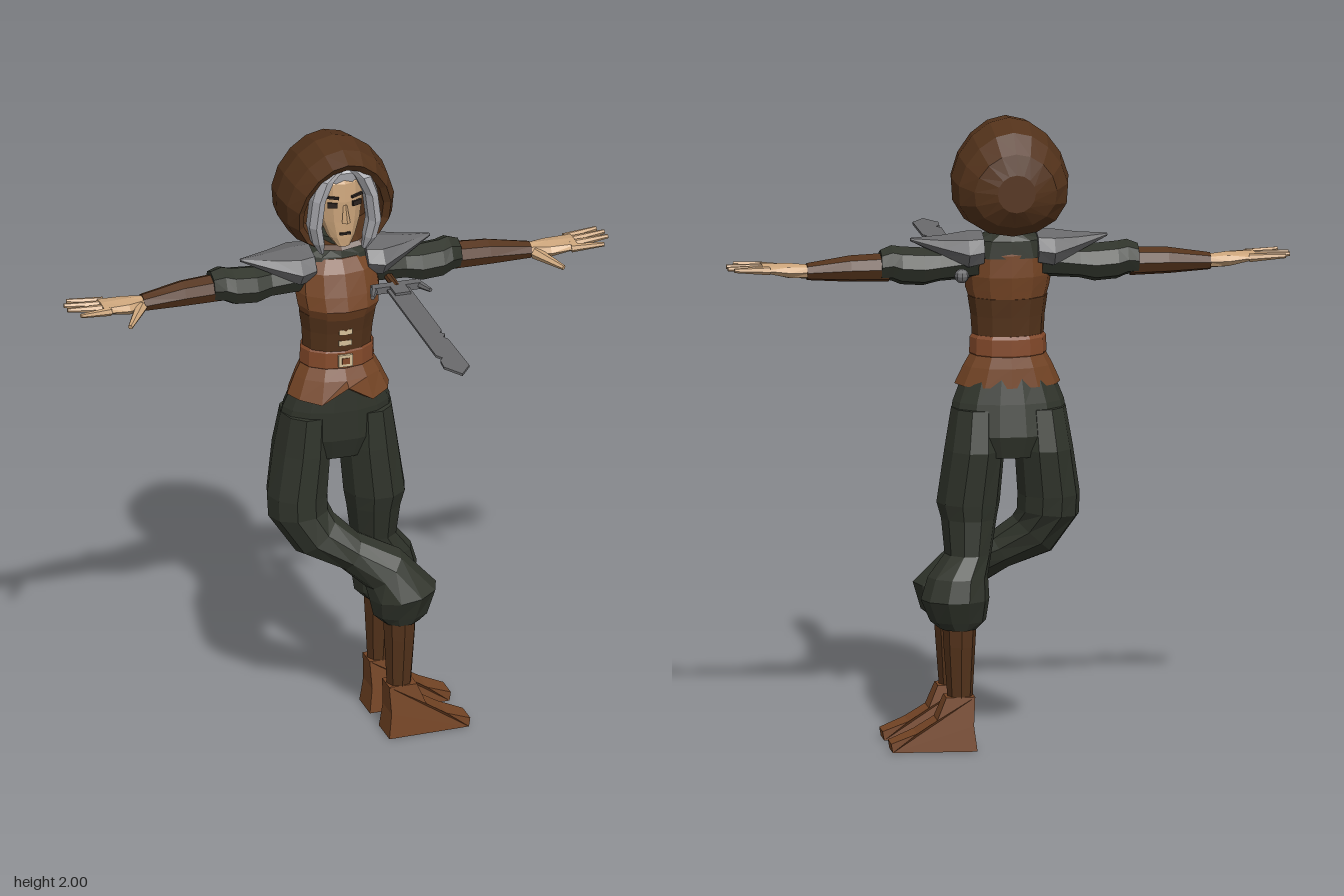
import * as THREE from 'three';

const mat = (name, color) => Object.assign(new THREE.MeshStandardMaterial({ color }), { name });

export function createModel() {
  const M = {
    darkLeather: mat('dark leather', 0x54331b),
    leather: mat('leather', 0x754525),
    belt: mat('belt leather', 0x83492a),
    cloth: mat('green cloth', 0x30342b),
    metal: mat('dull metal', 0x6a6a6c),
    hair: mat('grey hair', 0xa9a9ae),
    skin: mat('skin', 0xcda67c),
    dark: mat('eye dark', 0x2a221e),
    buckle: mat('buckle', 0xd6c19a),
  };
  const model = new THREE.Group();
  model.name = 'hoodedFigure';

  // flat-shaded mesh from any geometry
  function add(name, geo, material, parent = model) {
    const g = geo.index ? geo.toNonIndexed() : geo;
    g.computeVertexNormals();
    const mesh = new THREE.Mesh(g, material);
    mesh.name = name;
    parent.add(mesh);
    return mesh;
  }

  // Closed skin over elliptical rings [x, y, z, ru, rv, tilt, taper] lying in the given plane
  function loft(name, plane, rings, material, { n = 10, parent = model, warp } = {}) {
    const pos = [], idx = [];
    for (const [x, y, z, ru, rv, t = 0, taper = 0] of rings) {
      for (let i = 0; i < n; i++) {
        const a = (i / n) * Math.PI * 2, s = Math.sin(a) * rv;
        const c = Math.cos(a) * ru * (1 - taper * Math.sin(a));
        const p = new THREE.Vector3(x, y, z);
        if (plane === 'xz') p.add(new THREE.Vector3(c * Math.cos(t), c * Math.sin(t), s));
        else if (plane === 'yz') p.add(new THREE.Vector3(0, s, c));
        else p.add(new THREE.Vector3(c, s * Math.cos(t), s * Math.sin(t)));
        if (warp) warp(p);
        pos.push(p.x, p.y, p.z);
      }
    }
    const last = rings.length - 1, c0 = pos.length / 3;
    pos.push(...rings[0].slice(0, 3), ...rings[last].slice(0, 3));
    for (let i = 0; i < n; i++) {
      const j = (i + 1) % n;
      for (let r = 0; r < last; r++) {
        const a = r * n + i, b = r * n + j;
        idx.push(a, b, b + n, a, b + n, a + n);
      }
      idx.push(c0, j, i, c0 + 1, last * n + i, last * n + j);
    }
    // make faces point outward, judged by signed volume about the first centre
    const at = (i) => new THREE.Vector3().fromArray(pos, i * 3).sub(new THREE.Vector3(...rings[0].slice(0, 3)));
    let volume = 0;
    for (let i = 0; i < idx.length; i += 3) volume += at(idx[i]).cross(at(idx[i + 1])).dot(at(idx[i + 2]));
    if (volume < 0) idx.reverse();
    const g = new THREE.BufferGeometry();
    g.setAttribute('position', new THREE.Float32BufferAttribute(pos, 3));
    g.setIndex(idx);
    return add(name, g, material, parent);
  }

  // tapered rod between two points
  function rod(name, a, b, r0, r1, material, parent = model, sides = 6) {
    const p = new THREE.Vector3(...a), q = new THREE.Vector3(...b), d = q.clone().sub(p);
    const mesh = add(name, new THREE.CylinderGeometry(r1, r0, d.length(), sides), material, parent);
    mesh.position.copy(p).add(q).multiplyScalar(0.5);
    mesh.quaternion.setFromUnitVectors(new THREE.Vector3(0, 1, 0), d.normalize());
    return mesh;
  }
  function box(name, size, at, material, parent = model, ry = 0, rz = 0) {
    const mesh = add(name, new THREE.BoxGeometry(...size), material, parent);
    mesh.position.set(...at);
    mesh.rotation.set(0, ry, rz);
    return mesh;
  }

  // Hood: inner pocket, rim, then outer shell
  loft('hood', 'xy', [
    [0, 1.8, -0.31, 0.13, 0.13, 0.2, 0.15], [0, 1.795, -0.215, 0.13, 0.145, 0.2, 0.15],
    [0, 1.8, -0.2, 0.15, 0.165, 0.2, 0.15], [0, 1.81, -0.25, 0.175, 0.18, 0.12, 0.15],
    [0, 1.815, -0.33, 0.185, 0.185, 0.04, 0.15], [0, 1.805, -0.42, 0.172, 0.167, -0.05, 0.15],
    [0, 1.795, -0.475, 0.13, 0.12, -0.1, 0.1], [0, 1.79, -0.5, 0.06, 0.06],
  ], M.darkLeather, { n: 16 });

  // Head and face
  const head = new THREE.Group();
  head.name = 'head';
  model.add(head);
  loft('face', 'xz', [
    [0, 1.665, -0.225, 0.022, 0.018], [0, 1.695, -0.25, 0.045, 0.046], [0, 1.75, -0.265, 0.066, 0.062],
    [0, 1.82, -0.27, 0.076, 0.07], [0, 1.88, -0.275, 0.074, 0.07], [0, 1.93, -0.285, 0.05, 0.05],
  ], M.skin, { n: 12, parent: head });
  rod('nose', [0, 1.81, -0.203], [0, 1.752, -0.192], 0.006, 0.014, M.skin, head, 4);
  box('mouth', [0.035, 0.007, 0.008], [0, 1.712, -0.203], M.dark, head);
  for (const s of [1, -1]) {
    box('eye', [0.032, 0.016, 0.008], [s * 0.04, 1.812, -0.208], M.dark, head, s * 0.35);
    box('eyebrow', [0.04, 0.007, 0.008], [s * 0.04, 1.838, -0.207], M.dark, head, s * 0.35, s * 0.1);
    loft('hairLock', 'xz', [
      [s * 0.02 + 0.01, 1.935, -0.235, 0.025, 0.035], [s * 0.06, 1.905, -0.22, 0.03, 0.045],
      [s * 0.086, 1.84, -0.215, 0.024, 0.042], [s * 0.097, 1.75, -0.215, 0.024, 0.04],
      [s * 0.085, 1.69, -0.22, 0.022, 0.035], [s * 0.07, 1.645, -0.225, 0.008, 0.012],
    ], M.hair, { n: 7, parent: head });
  }
  loft('hairCap', 'xz', [
    [0, 1.875, -0.285, 0.09, 0.075], [0, 1.915, -0.275, 0.08, 0.07], [0, 1.945, -0.275, 0.04, 0.045],
  ], M.hair, { n: 10, parent: head });

  // Torso, from collar to hem
  loft('collar', 'xz', [
    [0, 1.56, -0.305, 0.14, 0.08], [0, 1.615, -0.31, 0.12, 0.07],
    [0, 1.635, -0.305, 0.065, 0.06], [0, 1.68, -0.295, 0.052, 0.052],
  ], M.cloth, { n: 12 });
  loft('chest', 'xz', [
    [0, 1.61, -0.305, 0.1, 0.07], [0, 1.57, -0.295, 0.132, 0.09], [0, 1.5, -0.285, 0.138, 0.105],
    [0, 1.455, -0.275, 0.132, 0.108], [0, 1.405, -0.283, 0.115, 0.092],
  ], M.leather, { n: 12 });
  loft('corset', 'xz', [
    [0, 1.43, -0.282, 0.126, 0.1], [0, 1.37, -0.285, 0.117, 0.09], [0, 1.29, -0.288, 0.112, 0.08],
  ], M.darkLeather, { n: 12 });
  loft('belt', 'xz', [
    [0, 1.31, -0.29, 0.113, 0.082], [0, 1.3, -0.29, 0.12, 0.087], [0, 1.25, -0.29, 0.122, 0.089], [0, 1.24, -0.29, 0.115, 0.083],
  ], M.belt, { n: 12 });
  loft('tunicHem', 'xz', [
    [0, 1.25, -0.29, 0.118, 0.085], [0, 1.21, -0.285, 0.14, 0.1], [0, 1.15, -0.277, 0.167, 0.115],
  ], M.leather, { n: 12, warp: (p) => { if (p.y < 1.16 && p.z > -0.2) p.y += Math.abs(p.x) < 0.01 ? 0.045 : -0.01; } });
  for (const y of [1.375, 1.335]) box('clasp', [0.042, 0.017, 0.009], [0, y, -0.198 - (1.375 - y) * 0.15], M.buckle);
  box('beltBuckle', [0.046, 0.04, 0.009], [0, 1.275, -0.2], M.buckle);
  box('buckleCentre', [0.024, 0.02, 0.004], [0, 1.275, -0.195], M.belt);

  // Baggy trousers
  loft('hips', 'xz', [
    [0, 1.2, -0.288, 0.135, 0.092], [0, 1.1, -0.298, 0.175, 0.105], [0, 1.0, -0.31, 0.192, 0.112], [0, 0.93, -0.312, 0.15, 0.09],
  ], M.cloth, { n: 14 });
  loft('leftTrouserLeg', 'xz', [
    [0.1, 1.08, -0.3, 0.08, 0.1], [0.108, 0.95, -0.312, 0.095, 0.117], [0.127, 0.78, -0.305, 0.1, 0.108],
    [0.125, 0.73, -0.308, 0.088, 0.098], [0.13, 0.62, -0.325, 0.074, 0.085], [0.165, 0.55, -0.345, 0.095, 0.092],
    [0.175, 0.48, -0.355, 0.108, 0.096], [0.165, 0.41, -0.35, 0.088, 0.07], [0.162, 0.385, -0.348, 0.06, 0.06],
  ], M.cloth);
  loft('rightTrouserLeg', 'xz', [
    [-0.1, 1.08, -0.3, 0.08, 0.1], [-0.11, 0.95, -0.31, 0.092, 0.115], [-0.127, 0.8, -0.3, 0.098, 0.105],
    [-0.125, 0.74, -0.295, 0.098, 0.1, 0.1], [-0.078, 0.665, -0.27, 0.084, 0.09, 0.75], [0.02, 0.607, -0.23, 0.062, 0.085, 1.05],
    [0.115, 0.555, -0.18, 0.08, 0.09, 0.8], [0.172, 0.48, -0.152, 0.11, 0.1, 0.15],
    [0.165, 0.41, -0.15, 0.09, 0.07], [0.162, 0.385, -0.15, 0.06, 0.06],
  ], M.cloth);

  // Shins and boots, both turned toward +x
  const bootSide = new THREE.Shape([
    [0.11, 0], [0.375, 0], [0.38, 0.028], [0.3, 0.06], [0.235, 0.1], [0.206, 0.17], [0.115, 0.17], [0.12, 0.08],
  ].map((p) => new THREE.Vector2(...p)));
  for (const [side, z] of [['left', -0.346], ['right', -0.148]]) {
    loft(side + 'Shin', 'xz', [
      [0.16, 0.42, z, 0.055, 0.058], [0.16, 0.33, z, 0.05, 0.054], [0.158, 0.155, z, 0.039, 0.036],
    ], M.darkLeather, { n: 8 });
    const boot = new THREE.ExtrudeGeometry(bootSide, { depth: 0.108, bevelEnabled: false }).translate(0, 0, -0.054);
    const p = boot.attributes.position;
    for (let i = 0; i < p.count; i++) {
      p.setZ(i, p.getZ(i) * (1 - 1.9 * p.getY(i)) * (p.getX(i) > 0.35 ? 0.75 : 1));
    }
    add(side + 'Boot', boot, M.leather).position.z = z;
  }

  // Arms, hands and shoulder guards
  for (const s of [1, -1]) {
    const arm = new THREE.Group();
    arm.name = s > 0 ? 'leftArm' : 'rightArm';
    model.add(arm);
    const along = (name, rings, m, n = 8) =>
      loft(name, 'yz', rings.map(([x, ...r]) => [s * x, ...r]), m, { n, parent: arm });
    along('sleeve', [
      [0.1, 1.55, -0.305, 0.065, 0.06], [0.22, 1.535, -0.31, 0.056, 0.052], [0.27, 1.53, -0.305, 0.064, 0.06],
      [0.34, 1.535, -0.305, 0.064, 0.06], [0.37, 1.545, -0.31, 0.062, 0.056], [0.405, 1.54, -0.315, 0.05, 0.048],
    ], M.cloth);
    along('forearm', [
      [0.38, 1.532, -0.315, 0.047, 0.046], [0.5, 1.53, -0.31, 0.043, 0.042], [0.635, 1.522, -0.3, 0.031, 0.027],
    ], M.darkLeather);
    along('palm', [
      [0.625, 1.522, -0.3, 0.025, 0.022], [0.69, 1.525, -0.29, 0.048, 0.024], [0.775, 1.535, -0.285, 0.053, 0.013],
    ], M.skin);
    [[-0.326, 0.868, -0.346], [-0.3, 0.885, -0.316], [-0.272, 0.885, -0.28], [-0.246, 0.857, -0.228]].forEach(([z0, x1, z1]) =>
      rod('finger', [s * 0.755, 1.533, z0], [s * x1, 1.54, z1], 0.014, 0.007, M.skin, arm));
    rod('thumb', [s * 0.645, 1.52, -0.275], [s * 0.71, 1.5, -0.183], 0.02, 0.008, M.skin, arm);
    along('shoulderGuard', [
      [0.085, 1.585, -0.308, 0.085, 0.055], [0.135, 1.58, -0.308, 0.1, 0.06],
      [0.21, 1.595, -0.308, 0.06, 0.034], [0.31, 1.617, -0.308, 0.005, 0.005],
    ], M.metal);
  }

  // Sword, blade pointing forward with a chipped edge
  const sword = new THREE.Group();
  sword.name = 'sword';
  sword.position.set(0.16, 1.515, 0);
  model.add(sword);
  const blade = new THREE.Shape([
    [-0.036, -0.16], [0.036, -0.16], [0.036, 0.17], [0.026, 0.185], [0.038, 0.2], [0.026, 0.22], [0.036, 0.24],
    [0.04, 0.44], [0, 0.495], [-0.04, 0.43], [-0.036, 0.38], [-0.024, 0.365], [-0.038, 0.34],
  ].map((p) => new THREE.Vector2(...p)));
  add('blade', new THREE.ExtrudeGeometry(blade, { depth: 0.008, bevelEnabled: false })
    .rotateX(Math.PI / 2).translate(0, 0.004, 0), M.metal, sword);
  box('guard', [0.16, 0.022, 0.03], [0, 0, -0.18], M.metal, sword);
  box('guardBlock', [0.05, 0.024, 0.06], [0, 0, -0.14], M.metal, sword);
  for (const s of [1, -1]) rod('guardProng', [s * 0.07, 0, -0.185], [s * 0.095, 0, -0.125], 0.014, 0.007, M.metal, sword);
  rod('grip', [0, 0, -0.17], [0, 0, -0.39], 0.014, 0.014, M.darkLeather, sword, 8);
  add('pommel', new THREE.SphereGeometry(0.023, 8, 6), M.metal, sword).position.z = -0.4;

  return model;
}
